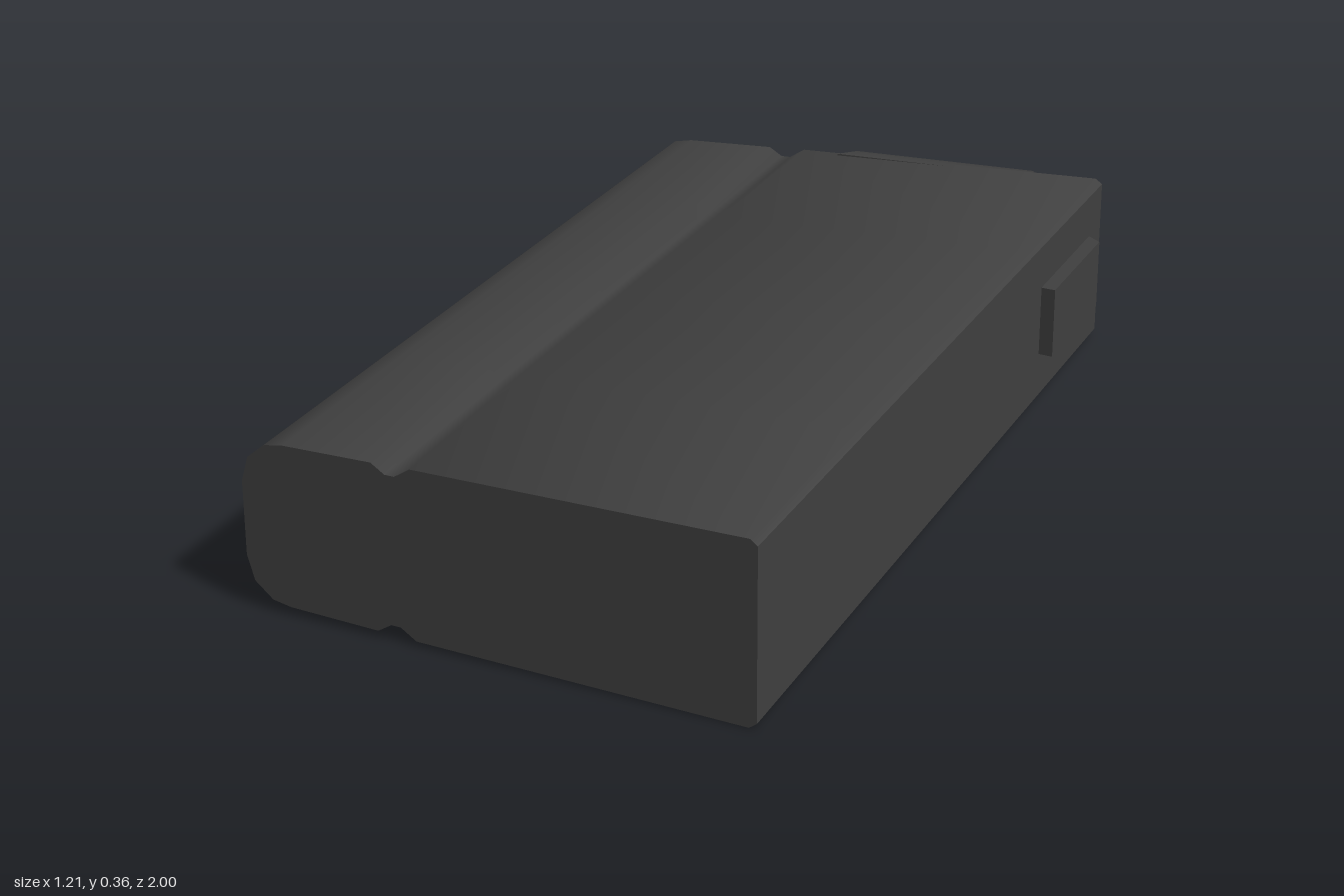
import * as THREE from 'three';
import { toCreasedNormals } from 'three/addons/utils/BufferGeometryUtils.js';

const MID = 0.181; // mid height
const BACK = -0.895; // z of the open end

// Upper half of the cross-section at the open end: [x, half height]
const HALF = [
  [-0.455, 0.075], [-0.44, 0.125], [-0.403, 0.156], [-0.365, 0.163],
  [-0.178, 0.168], [-0.15, 0.15], [-0.13, 0.15], [-0.098, 0.171],
  [0.565, 0.181], [0.58, 0.17],
];
const WALL = 0.028;
const INNER = HALF.map(([x, h]) => [0.0625 + (x - 0.0625) * 0.945, h - WALL]);

// Mirror the half profile about the mid height into a closed outline
function outline(half) {
  const lower = half.map(([x, h]) => new THREE.Vector2(x, MID - h));
  const upper = half.map(([x, h]) => new THREE.Vector2(x, MID + h)).reverse();
  return [...lower, ...upper];
}

// Move every vertex by a rule
function warp(geometry, rule) {
  const p = geometry.attributes.position;
  for (let i = 0; i < p.count; i++) {
    p.setXYZ(i, ...rule(p.getX(i), p.getY(i), p.getZ(i)));
  }
  geometry.computeVertexNormals();
  return geometry;
}

// Lean the body sideways and slant its closed end; t runs from open to closed end
function lean(x, y, t) {
  const front = 0.87 + ((x + 0.455) / 1.035) * 0.128;
  const z = BACK + t * (front - BACK);
  return [x - 0.088 * (z - BACK), y, z];
}

export function createModel() {
  const model = new THREE.Group();
  const metal = new THREE.MeshStandardMaterial({ color: 0x404040 });
  metal.name = 'darkMetal';
  const inside = new THREE.MeshStandardMaterial({ color: 0x303030, side: THREE.DoubleSide });
  inside.name = 'innerMetal';

  const add = (name, geometry, material = metal) => {
    const mesh = new THREE.Mesh(geometry, material);
    mesh.name = name;
    model.add(mesh);
  };

  // Hollow body with a groove along both broad faces
  const section = new THREE.Shape(outline(HALF));
  section.holes.push(new THREE.Path(outline(INNER)));
  const shell = new THREE.ExtrudeGeometry(section, { depth: 1, steps: 4, bevelEnabled: false });
  add('body', toCreasedNormals(warp(shell, lean), 0.75));

  // Closed end and the follower plate just inside the open end
  const plate = (t) => warp(new THREE.ShapeGeometry(new THREE.Shape(outline(INNER))),
    (x, y) => lean(x, y, t));
  add('floorPlate', plate(1));
  add('follower', plate(0.09), inside);

  // Two feed lips curling towards each other: [distance back, height above the middle]
  const lipProfile = [
    [0.88, 0.176], [0.9, 0.176], [0.92, 0.173], [0.945, 0.16], [0.972, 0.138], [1.0, 0.108],
    [0.99, 0.098], [0.96, 0.118], [0.94, 0.134], [0.92, 0.143], [0.9, 0.146], [0.88, 0.146],
  ];
  for (const [name, side] of [['upperFeedLip', 1], ['lowerFeedLip', -1]]) {
    const shape = new THREE.Shape(lipProfile.map(([a, h]) => new THREE.Vector2(a, MID + side * h)));
    const lip = new THREE.ExtrudeGeometry(shape, { depth: 1, bevelEnabled: false });
    warp(lip, (a, y, d) => {
      const flare = 0.035 * Math.max(0, (0.93 - a) / 0.05) ** 2; // widens at the root
      const x = THREE.MathUtils.lerp(0.02 - flare, 0.42 + flare * 0.5, d);
      const slant = a > 0.95 ? 0.014 * d : 0;
      return [x, y, -a + slant];
    });
    add(name, toCreasedNormals(lip, 0.8));
  }

  // Catch block on the side wall
  const catchShape = new THREE.Shape([
    [0.545, 0.495], [0.575, 0.49], [0.602, 0.79], [0.575, 0.815], [0.555, 0.81],
  ].map(([x, y]) => new THREE.Vector2(x, y)));
  const block = new THREE.ExtrudeGeometry(catchShape, { depth: 0.15, bevelEnabled: false });
  block.rotateX(-Math.PI / 2).translate(0, 0.108, 0);
  add('catchBlock', block);

  return model;
}
